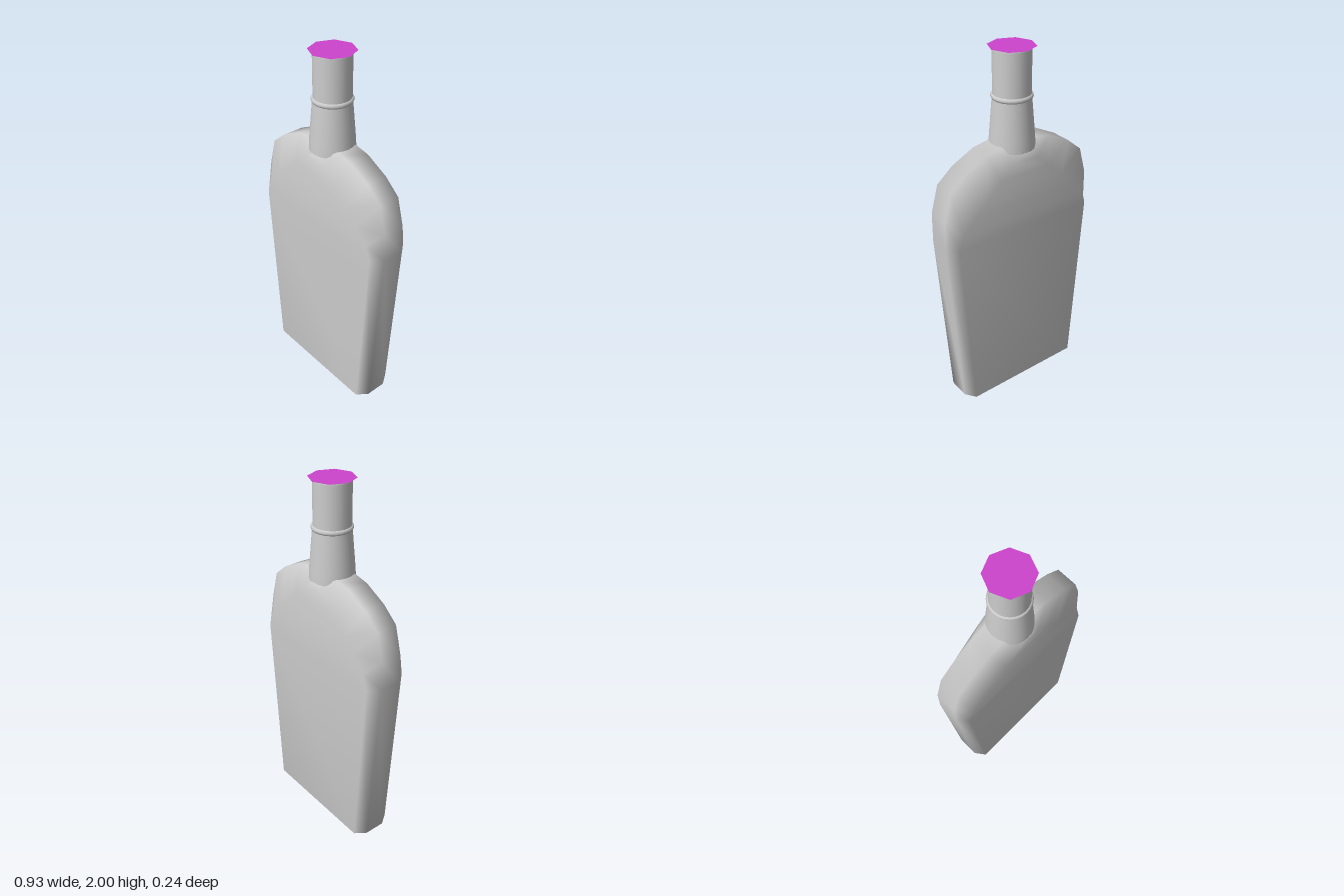
import * as THREE from 'three';
import { mergeVertices } from 'three/addons/utils/BufferGeometryUtils.js';

// Loft of chamfered eight-point sections; the shoulder sections bend down at front and back.
function bodyGeometry() {
  // [outer x, outer y, flat-face x, flat-face y]
  const stations = [
    [0.395, 0, 0.352, 0],
    [0.465, 1.05, 0.42, 1.05],
    [0.462, 1.21, 0.39, 1.13],
    [0.42, 1.36, 0.31, 1.21],
    [0.33, 1.435, 0.24, 1.28],
    [0.2, 1.5, 0.15, 1.37],
    [0.12, 1.515, 0.07, 1.44],
    [0, 1.52, 0, 1.49],
  ];
  const zSide = 0.06, zFace = 0.12;
  const positions = [], index = [];
  for (const [xo, yo, xi, yi] of stations) {
    positions.push(
      xo, yo, zSide, xo, yo, -zSide, xi, yi, -zFace, -xi, yi, -zFace,
      -xo, yo, -zSide, -xo, yo, zSide, -xi, yi, zFace, xi, yi, zFace,
    );
  }
  for (let i = 0; i < stations.length - 1; i++) {
    for (let j = 0; j < 8; j++) {
      const a = i * 8 + j, b = i * 8 + (j + 1) % 8;
      index.push(a, b, a + 8, b, b + 8, a + 8);
    }
  }
  // Base
  for (let j = 1; j < 7; j++) index.push(0, j + 1, j);
  let geometry = new THREE.BufferGeometry();
  geometry.setAttribute('position', new THREE.Float32BufferAttribute(positions, 3));
  geometry.setIndex(index);
  geometry = mergeVertices(geometry);
  geometry.computeVertexNormals();
  return geometry;
}

export function createModel() {
  const group = new THREE.Group();
  const glass = new THREE.MeshStandardMaterial({ color: 0xcccccc, side: THREE.DoubleSide });
  const purple = new THREE.MeshStandardMaterial({ color: 0xcc44cc, side: THREE.DoubleSide });
  const add = (name, geometry, material) => {
    const mesh = new THREE.Mesh(geometry, material);
    mesh.name = name;
    group.add(mesh);
    return mesh;
  };

  add('body', bodyGeometry(), glass);

  // Tapered neck with a straight mouth
  const neckProfile = [
    [0.121, 1.48], [0.119, 1.53], [0.102, 1.73], [0.098, 1.77], [0.098, 1.985], [0.094, 1.998],
  ].map(([r, y]) => new THREE.Vector2(r, y));
  add('neck', new THREE.LatheGeometry(neckProfile, 24), glass);

  // Bead around the neck
  const bead = add('neckRing', new THREE.TorusGeometry(0.093, 0.015, 8, 24), glass);
  bead.rotation.x = Math.PI / 2;
  bead.position.y = 1.752;

  // Flat eight-sided lid
  const lid = add('lid', new THREE.CircleGeometry(0.121, 8), purple);
  lid.rotation.x = -Math.PI / 2;
  lid.position.y = 2;

  return group;
}
